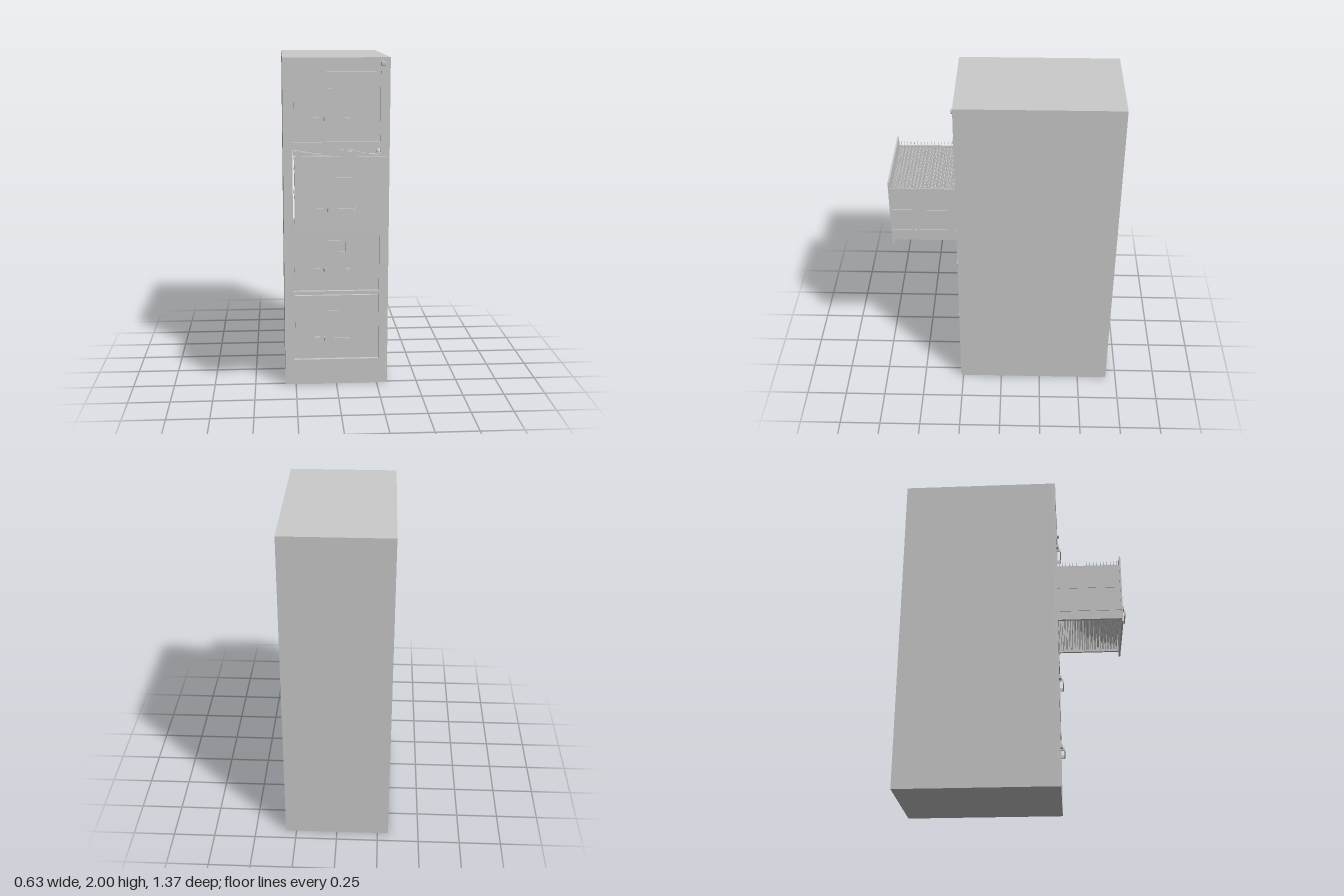
import * as THREE from 'three';

const material = new THREE.MeshStandardMaterial({ color: 0xcccccc });
const FRONT = 0.265;
const OPEN_FRONT = 0.658;
const OPEN_W = 0.52, OPEN_H = 0.417;
const CENTRES = [1.716, 1.258, 0.804, 0.367];
const OPEN_DRAWER = 1;

function add(parent, name, geometry, x = 0, y = 0, z = 0) {
  const mesh = new THREE.Mesh(geometry, material);
  mesh.name = name;
  mesh.position.set(x, y, z);
  parent.add(mesh);
  return mesh;
}

const box = (w, h, d) => new THREE.BoxGeometry(w, h, d);

// Counter-clockwise rectangle centred on (0, y)
function rectangle(Type, w, h, y = 0) {
  const p = [[-1, -1], [1, -1], [1, 1], [-1, 1]];
  return new Type(p.map(([a, b]) => new THREE.Vector2(a * w / 2, y + b * h / 2)));
}

const extrude = (shape, depth) =>
  new THREE.ExtrudeGeometry(shape, { depth, bevelEnabled: false, curveSegments: 6 });

// U-shaped strap seen from above, extruded to its height
function handleGeometry() {
  const s = new THREE.Shape();
  const w = 0.077, d = 0.028, t = 0.005, r = 0.01;
  s.moveTo(-w, 0);
  s.lineTo(-w + t, 0);
  s.lineTo(-w + t, d - t);
  s.lineTo(w - t, d - t);
  s.lineTo(w - t, 0);
  s.lineTo(w, 0);
  s.lineTo(w, d - r);
  s.quadraticCurveTo(w, d, w - r, d);
  s.lineTo(-w + r, d);
  s.quadraticCurveTo(-w, d, -w, d - r);
  const g = extrude(s, 0.02);
  g.rotateX(Math.PI / 2);
  g.translate(0, 0.01, 0);
  return g;
}

// Handle, thumb latch and label holder; z = 0 is the panel face
function drawerHardware() {
  const group = new THREE.Group();
  group.name = 'drawerHardware';
  add(group, 'handle', handleGeometry(), 0, -0.07, 0);
  add(group, 'latch', box(0.032, 0.018, 0.018), -0.116, -0.07, 0.006);
  const holder = rectangle(THREE.Shape, 0.112, 0.074);
  holder.holes.push(rectangle(THREE.Path, 0.096, 0.058));
  add(group, 'labelHolder', extrude(holder, 0.006), 0.005, 0.07, 0);
  add(group, 'labelCard', box(0.1, 0.062, 0.003), 0.005, 0.07, 0.001);
  return group;
}

function closedDrawer() {
  const group = new THREE.Group();
  group.name = 'closedDrawer';
  add(group, 'drawerBacking', box(OPEN_W + 0.01, OPEN_H + 0.01, 0.004), 0, 0, FRONT - 0.022);
  add(group, 'drawerFront', box(OPEN_W - 0.016, OPEN_H - 0.016, 0.02), 0, 0, FRONT - 0.013);
  const hardware = drawerHardware();
  hardware.position.z = FRONT - 0.003;
  group.add(hardware);
  return group;
}

function openDrawer() {
  const group = new THREE.Group();
  group.name = 'openDrawer';
  add(group, 'drawerFront', box(0.512, 0.448, 0.01), 0, 0, OPEN_FRONT - 0.005);
  const hardware = drawerHardware();
  hardware.position.z = OPEN_FRONT;
  group.add(hardware);

  // Side walls with runners, open underneath
  const back = -0.2, front = OPEN_FRONT - 0.01;
  const length = front - back, mid = (front + back) / 2;
  for (const side of [-1, 1]) {
    add(group, 'drawerSide', box(0.006, 0.37, length), side * 0.24, -0.012, mid);
    add(group, 'middleRib', box(0.004, 0.008, length), side * 0.244, 0.02, mid);
    add(group, 'runner', box(0.005, 0.022, length), side * 0.2445, -0.13, mid);
    add(group, 'bottomLip', box(0.012, 0.005, length), side * 0.234, -0.1945, mid);
    const roller = add(group, 'roller', new THREE.CylinderGeometry(0.015, 0.015, 0.006, 16),
      side * 0.247, -0.13, 0.515);
    roller.rotation.z = Math.PI / 2;
  }

  // Hanging folders, slightly uneven in spacing, with hooked rods over the sides
  let seed = 7;
  const random = () => (seed = (seed * 16807) % 2147483647) / 2147483647;
  const step = 0.0105;
  for (let z = front - 0.012, i = 0; z > back + 0.02; z -= step, i++) {
    const at = z + (random() - 0.5) * 0.005;
    add(group, 'folder', box(0.45, 0.345, 0.002), 0, -0.008 - random() * 0.006, at);
    if (i % 2 === 0) {
      add(group, 'hangingRod', box(0.51, 0.006, 0.002), 0, 0.178, at);
      for (const side of [-1, 1])
        add(group, 'rodHook', box(0.012, 0.018, 0.002), side * 0.249, 0.184, at);
    } else {
      add(group, 'folderTab', box(0.07, 0.025, 0.0015), -0.17 + (i % 5) * 0.085, 0.176, at);
    }
  }
  return group;
}

export function createModel() {
  const model = new THREE.Group();
  model.name = 'filingCabinet';

  // Outer shell without its front side
  const shell = box(0.63, 2, 0.93);
  const index = Array.from(shell.index.array);
  index.splice(24, 6);
  shell.setIndex(index);
  shell.clearGroups();
  add(model, 'cabinetShell', shell, 0, 1, -0.22);

  // Front frame with one opening per drawer
  const frame = rectangle(THREE.Shape, 0.63, 2, 1);
  for (const y of CENTRES) frame.holes.push(rectangle(THREE.Path, OPEN_W, OPEN_H, y));
  add(model, 'frontFrame', extrude(frame, 0.02), 0, 0, FRONT - 0.02);

  CENTRES.forEach((y, i) => {
    const drawer = i === OPEN_DRAWER ? openDrawer() : closedDrawer();
    drawer.position.y = y;
    model.add(drawer);
  });

  // Lock in the upper corner
  const lock = add(model, 'lock', new THREE.CylinderGeometry(0.012, 0.016, 0.012, 24), 0.273, 1.964, FRONT + 0.006);
  lock.rotation.x = Math.PI / 2;
  add(model, 'keySlot', box(0.003, 0.012, 0.002), 0.273, 1.964, FRONT + 0.012);

  return model;
}
